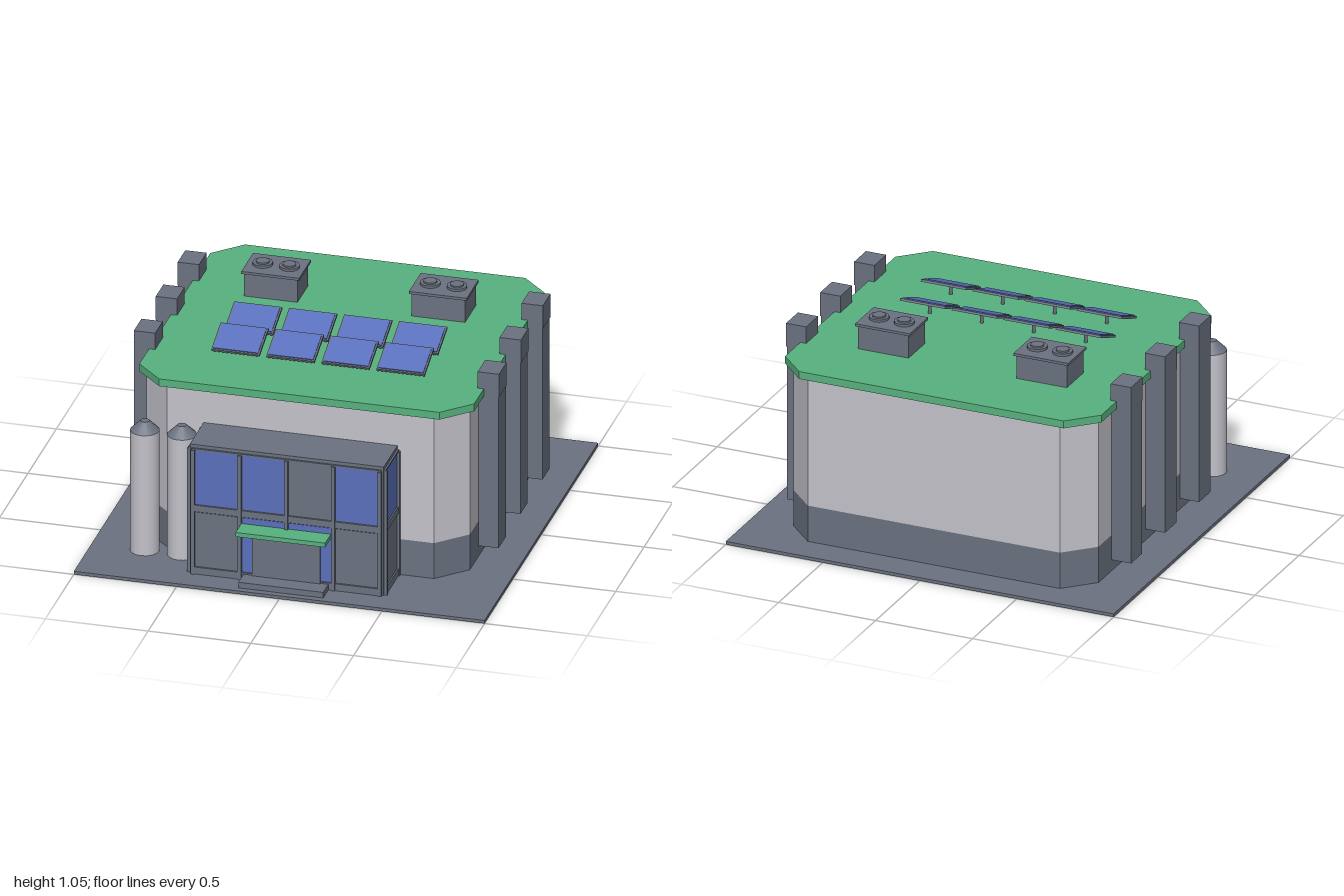
import * as THREE from 'three';

const mat = (name, color) => {
  const m = new THREE.MeshStandardMaterial({ color });
  m.name = name;
  return m;
};

export function createModel() {
  const slate = mat('slate', 0x6b7280);
  const wall = mat('pale wall', 0xc4c3cb);
  const green = mat('roof green', 0x58b27f);
  const blue = mat('glass blue', 0x5a70bc);
  const model = new THREE.Group();
  model.name = 'building';

  const add = (parent, name, geo, material, x = 0, y = 0, z = 0) => {
    const m = new THREE.Mesh(geo, material);
    m.name = name;
    m.position.set(x, y, z);
    parent.add(m);
    return m;
  };
  // Box given by its limits on each axis
  const box = (parent, name, material, x0, x1, y0, y1, z0, z1) =>
    add(parent, name, new THREE.BoxGeometry(x1 - x0, y1 - y0, z1 - z0), material,
      (x0 + x1) / 2, (y0 + y1) / 2, (z0 + z1) / 2);
  const group = (name, x = 0, y = 0, z = 0) => {
    const g = new THREE.Group();
    g.name = name;
    g.position.set(x, y, z);
    model.add(g);
    return g;
  };
  // Horizontal slab with four cut corners
  const octagon = (name, material, hx, z0, z1, cut, y0, y1) => {
    const pts = [
      [-hx + cut, -z1], [hx - cut, -z1], [hx, -z1 + cut], [hx, -z0 - cut],
      [hx - cut, -z0], [-hx + cut, -z0], [-hx, -z0 - cut], [-hx, -z1 + cut],
    ].map(([x, y]) => new THREE.Vector2(x, y));
    const geo = new THREE.ExtrudeGeometry(new THREE.Shape(pts), { depth: y1 - y0, bevelEnabled: false });
    geo.rotateX(-Math.PI / 2);
    return add(model, name, geo, material, 0, y0, 0);
  };

  // Ground plate, hall and roof
  box(model, 'groundPlate', slate, -1, 1, 0, 0.016, -1, 1);
  octagon('wallPlinth', slate, 0.787, -0.84, 0.625, 0.137, 0.016, 0.2);
  octagon('mainWall', wall, 0.787, -0.84, 0.625, 0.137, 0.2, 0.857);
  octagon('roof', green, 0.815, -0.867, 0.647, 0.133, 0.857, 0.895);

  // Side pillars rising past the roof
  for (const side of [-1, 1]) {
    for (const z of [0.278, -0.108, -0.494]) {
      const g = group('sidePillar', side * 0.837, 0, z);
      box(g, 'pillarShaft', slate, -0.051, 0.049, 0.073, 0.86, -0.063, 0.063);
      box(g, 'pillarTop', slate, -0.052, 0.052, 0.86, 0.98, -0.067, 0.067);
    }
  }

  // Entrance block
  const porch = group('entrance');
  box(porch, 'entranceBlock', slate, -0.472, 0.472, 0.016, 0.685, 0.6, 0.867);
  const front = 0.867;
  const posts = [-0.455, -0.228, 0, 0.228, 0.455];
  for (const x of posts) {
    box(porch, 'frontPost', slate, x - 0.009, x + 0.009, 0.27 * (x === 0), 0.66, front, 0.882);
  }
  for (const [y0, y1] of [[0.016, 0.052], [0.34, 0.374], [0.66, 0.668]]) {
    box(porch, 'frontRail', slate, -0.462, 0.462, y0, y1, front, 0.876);
  }
  // Upper windows; the third bay is a blank panel
  for (const i of [0, 1, 2, 3]) {
    const a = posts[i] + 0.011, b = posts[i + 1] - 0.011;
    box(porch, i === 2 ? 'blankPanel' : 'frontWindow', i === 2 ? slate : blue, a, b, 0.378, 0.658, front, front + 0.004);
    if (i === 0 || i === 3) box(porch, 'lowerPanel', slate, a, b, 0.056, 0.336, front, front + 0.004);
  }
  // Door with glass around it
  box(porch, 'doorGlass', blue, -0.217, 0.217, 0.054, 0.336, front, front + 0.004);
  box(porch, 'door', slate, -0.166, 0.166, 0.045, 0.285, front, 0.882);
  box(porch, 'doorSeam', slate, -0.004, 0.004, 0.045, 0.285, 0.882, 0.885);
  box(porch, 'doorStep', slate, -0.208, 0.205, 0.016, 0.045, front, 0.967);
  box(porch, 'canopy', green, -0.22, 0.216, 0.283, 0.305, front, 0.972);

  // Entrance sides
  for (const s of [-1, 1]) {
    const strip = (name, m, y0, y1, z0, z1, out) =>
      box(porch, name, m, Math.min(s * 0.47, s * out), Math.max(s * 0.47, s * out), y0, y1, z0, z1);
    strip('sideWindow', blue, 0.378, 0.658, 0.645, 0.84, 0.476);
    strip('sidePanel', slate, 0.056, 0.336, 0.645, 0.84, 0.476);
    strip('sidePost', slate, 0.016, 0.66, 0.842, 0.86, 0.487);
    strip('sidePost', slate, 0.016, 0.66, 0.625, 0.643, 0.487);
    strip('sideRail', slate, 0.34, 0.374, 0.63, 0.86, 0.481);
    strip('sideRail', slate, 0.016, 0.052, 0.63, 0.86, 0.481);
    strip('sideRail', slate, 0.66, 0.668, 0.63, 0.86, 0.481);
  }

  // Storage tanks
  for (const x of [-0.742, -0.561]) {
    const g = group('tank', x, 0, 0.682);
    add(g, 'tankBody', new THREE.CylinderGeometry(0.07, 0.07, 0.624, 16), wall, 0, 0.328, 0);
    add(g, 'tankCap', new THREE.CylinderGeometry(0.022, 0.07, 0.048, 16), slate, 0, 0.664, 0);
  }

  // Rooftop cooling units
  for (const x of [-0.408, 0.408]) {
    const g = group('coolingUnit', x, 0.895, -0.421);
    box(g, 'unitBody', slate, -0.13, 0.13, 0, 0.118, -0.094, 0.094);
    box(g, 'unitLid', slate, -0.141, 0.141, 0.118, 0.131, -0.104, 0.104);
    for (const fx of [-0.065, 0.065]) {
      add(g, 'fanRing', new THREE.CylinderGeometry(0.048, 0.048, 0.012, 16), slate, fx, 0.137, 0);
      add(g, 'fanHub', new THREE.CylinderGeometry(0.032, 0.032, 0.008, 16), slate, fx, 0.147, 0);
    }
  }

  // Tilted solar panels on posts
  for (const z of [-0.003, 0.235]) {
    for (const x of [-0.402, -0.134, 0.134, 0.402]) {
      const g = group('solarPanel', x, 0.895, z);
      add(g, 'panelPost', new THREE.CylinderGeometry(0.009, 0.009, 0.046, 8), slate, 0, 0.023, 0);
      const tilt = new THREE.Group();
      tilt.name = 'panelTray';
      tilt.position.y = 0.05;
      tilt.rotation.x = 0.37;
      g.add(tilt);
      box(tilt, 'panelFrame', slate, -0.117, 0.117, -0.006, 0.006, -0.088, 0.088);
      box(tilt, 'panelGlass', blue, -0.109, 0.109, 0.006, 0.01, -0.08, 0.08);
    }
  }
  return model;
}
